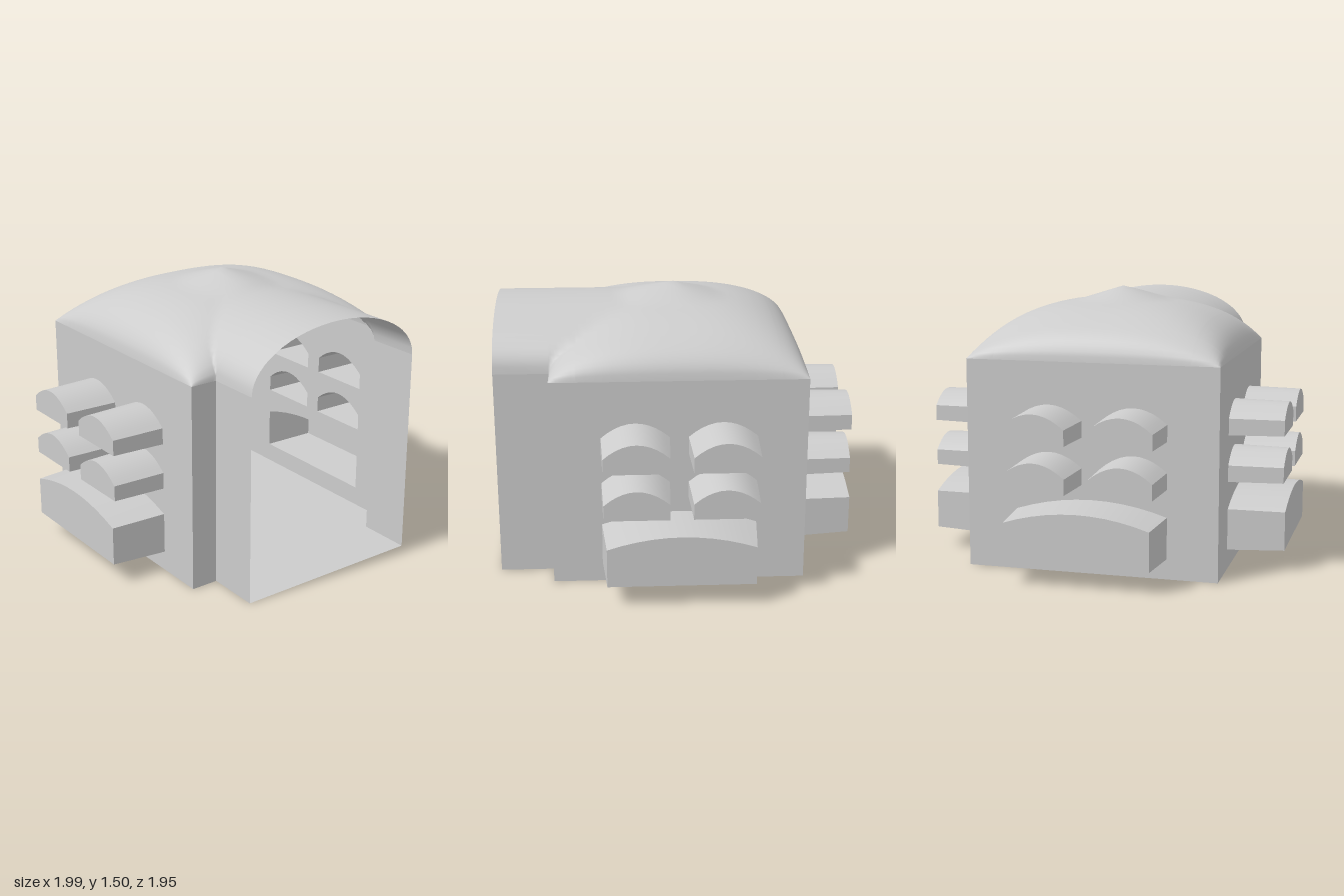
import * as THREE from 'three';
import { toCreasedNormals } from 'three/addons/utils/BufferGeometryUtils.js';

const W = 0.69, D = 0.68, WALL = 1.14;   // half width, half depth, wall height
const PORCH = 0.54, FRONT = 0.975;       // half width and front end of the porch
const RISE = 0.29;                       // height of the vaulted roof

const stone = new THREE.MeshStandardMaterial({ color: 0xcccccc, side: THREE.DoubleSide });
stone.name = 'stone grey';

function add(parent, name, geometry) {
  const mesh = new THREE.Mesh(geometry, stone);
  mesh.name = name;
  parent.add(mesh);
  return mesh;
}

// Outline of a segmental arch opening, counter-clockwise from the lower left
function archPoints({ x, w, y0, spring, top }) {
  const pts = [new THREE.Vector2(x - w / 2, y0), new THREE.Vector2(x + w / 2, y0)];
  for (let i = 0; i <= 10; i++) {
    const t = 1 - i / 5;
    pts.push(new THREE.Vector2(x + t * w / 2, spring + (top - spring) * (1 - t * t)));
  }
  return pts;
}

// Tapered hollow niche, open towards the room and closed at its outer end
function nicheGeometry(n, depth) {
  const ring = archPoints(n);
  const c = new THREE.Vector2(n.x, (n.y0 + n.top) / 2);
  const end = ring.map(p => p.clone().sub(c).multiplyScalar(0.94).add(c));
  const pos = [];
  const put = (p, z) => pos.push(p.x, p.y, z);
  ring.forEach((p, i) => {
    const j = (i + 1) % ring.length;
    put(p, 0); put(ring[j], 0); put(end[i], depth);
    put(ring[j], 0); put(end[j], depth); put(end[i], depth);
  });
  for (const [a, b, d] of THREE.ShapeUtils.triangulateShape(end, [])) {
    put(end[a], depth); put(end[b], depth); put(end[d], depth);
  }
  const g = new THREE.BufferGeometry();
  g.setAttribute('position', new THREE.Float32BufferAttribute(pos, 3));
  return toCreasedNormals(g, 0.5);
}

// Wall with four small niches above one wide niche; outward is local +z
function nicheWall(name, halfWidth, extra) {
  const wall = new THREE.Group();
  wall.name = name;
  const niches = [{ x: 0, w: 0.83, y0: 0.11, spring: 0.335, top: 0.405, depth: 0.295 + extra }];
  for (const y0 of [0.485, 0.74])
    for (const x of [-0.232, 0.232])
      niches.push({ x, w: 0.365, y0, spring: y0 + 0.09, top: y0 + 0.17, depth: 0.285 + extra });
  const shape = new THREE.Shape([
    new THREE.Vector2(-halfWidth, 0), new THREE.Vector2(halfWidth, 0),
    new THREE.Vector2(halfWidth, WALL), new THREE.Vector2(-halfWidth, WALL)]);
  for (const n of niches) {
    shape.holes.push(new THREE.Path(archPoints(n)));
    add(wall, n.w > 0.5 ? 'wideNiche' : 'smallNiche', nicheGeometry(n, n.depth));
  }
  add(wall, 'wallFace', new THREE.ShapeGeometry(shape));
  return wall;
}

// Flat upright panel
function panel(parent, name, width, x, z, turn) {
  const m = add(parent, name, new THREE.PlaneGeometry(width, WALL));
  m.position.set(x, WALL / 2, z);
  m.rotation.y = turn;
}

// Roof height: the higher of the cushion dome and the porch vault
const curve = (u, p) => Math.sqrt(Math.max(0, 1 - Math.abs(u) ** p));
const vault = x => WALL + RISE * curve(x / PORCH, 2);
function roofHeight(x, z) {
  const r = Math.hypot(x / 0.25, z / (z < 0 ? 0.27 : 0.48));
  const peak = r < 1 ? 0.065 * (1 - r) ** 1.2 : 0;
  const dome = WALL + RISE * curve(x / W, 2.5) * curve(z / D, 2.5) + peak;
  return z > 0 ? Math.max(dome, vault(x)) : dome;
}

// Smooth sheet y = h(x, z) over a grid
function sheet(xs, zs, h) {
  const pos = [], index = [], n = zs.length;
  xs.forEach((x, i) => zs.forEach((z, j) => {
    pos.push(x, h(x, z), z);
    if (i && j) {
      const a = (i - 1) * n + j - 1, c = i * n + j - 1;
      index.push(a, a + 1, c, a + 1, c + 1, c);
    }
  }));
  const g = new THREE.BufferGeometry();
  g.setAttribute('position', new THREE.Float32BufferAttribute(pos, 3));
  g.setIndex(index);
  g.computeVertexNormals();
  return g;
}
const mirror = a => [...a.slice(1).map(v => -v).reverse(), ...a];

export function createModel() {
  const model = new THREE.Group();
  model.name = 'vaultedChamber';

  // Three niche walls
  const back = nicheWall('backWall', W, 0);
  back.position.z = -D;
  back.rotation.y = Math.PI;
  model.add(back);
  for (const s of [1, -1]) {
    const side = nicheWall(s > 0 ? 'leftWall' : 'rightWall', D, 0.012);
    side.position.x = s * W;
    side.rotation.y = s * Math.PI / 2;
    model.add(side);

    // Front returns and porch sides
    panel(model, 'frontReturn', W - PORCH, s * (W + PORCH) / 2, D, 0);
    panel(model, 'porchSide', FRONT - D, s * PORCH, (FRONT + D) / 2, s * Math.PI / 2);
  }

  // Floor following the plan of the room and porch
  const plan = new THREE.Shape([
    [-W, -D], [-W, D], [-PORCH, D], [-PORCH, FRONT],
    [PORCH, FRONT], [PORCH, D], [W, D], [W, -D]].map(p => new THREE.Vector2(...p)));
  add(model, 'floor', new THREE.ShapeGeometry(plan)).rotation.x = Math.PI / 2;

  // Roof over the room, and the barrel vault over the porch
  const inner = [0, 0.05, 0.1, 0.15, 0.2, 0.25, 0.3, 0.35, 0.39, 0.43, 0.46, 0.49, 0.51, 0.525, 0.535, PORCH];
  const xs = mirror([...inner, 0.56, 0.58, 0.6, 0.62, 0.64, 0.66, 0.675, 0.685, W]);
  const zs = mirror([...inner, 0.56, 0.58, 0.6, 0.62, 0.64, 0.655, 0.67, 0.677, D]);
  add(model, 'roof', sheet(xs, zs, roofHeight));
  add(model, 'porchVault', sheet(mirror(inner), [D, FRONT], vault));

  return model;
}
